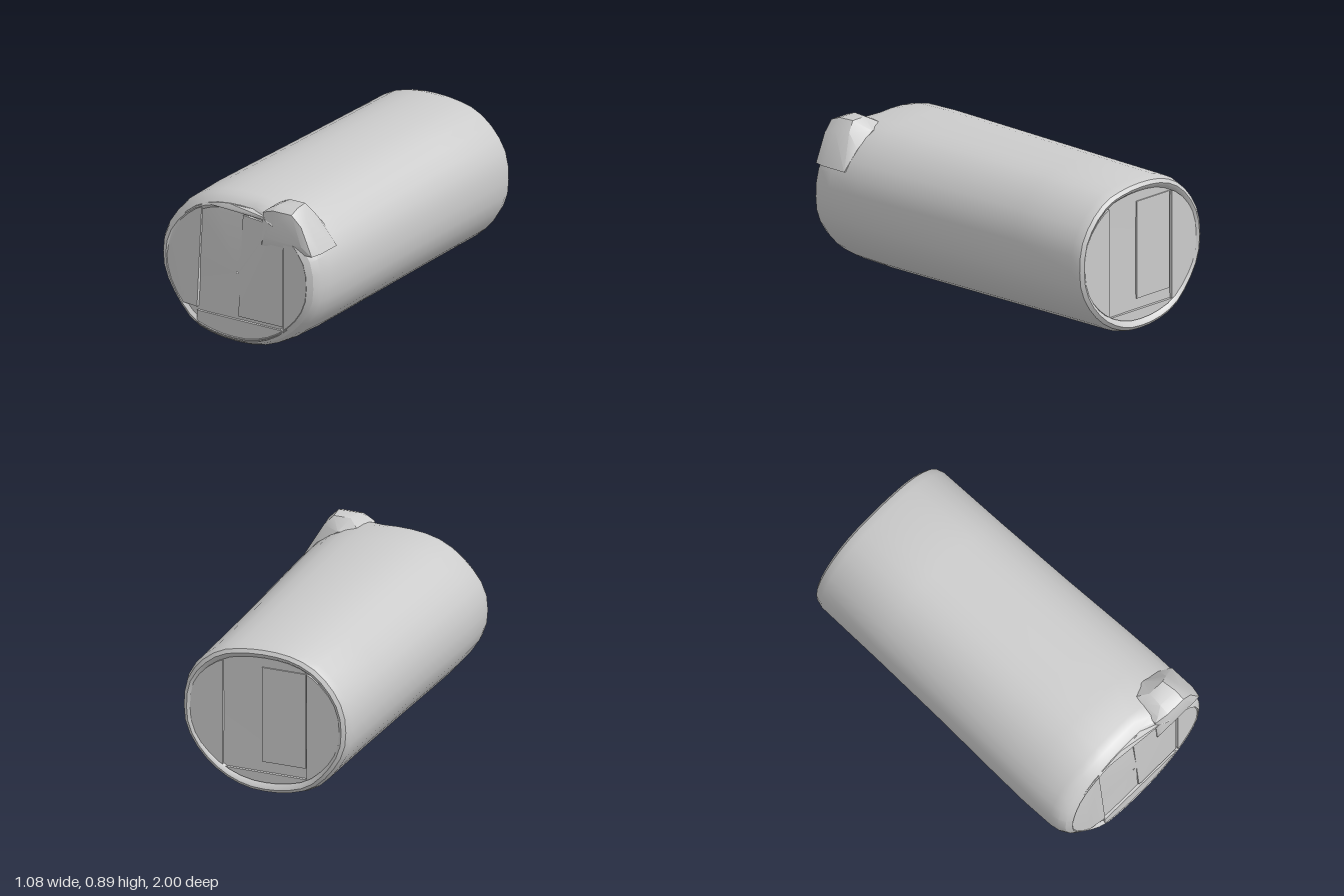
import * as THREE from 'three';
import { toCreasedNormals, mergeVertices } from 'three/addons/utils/BufferGeometryUtils.js';
import { ConvexGeometry } from 'three/addons/geometries/ConvexGeometry.js';

const CY = 0.445; // height of the log's axis
const N = 36;
const material = new THREE.MeshStandardMaterial({ color: 0xcccccc, side: THREE.DoubleSide });

// Cross-section at the front, counter-clockwise from the right
const outline = new THREE.CatmullRomCurve3([
  [0.54, 0.46], [0.52, 0.62], [0.43, 0.75], [0.3, 0.84], [0.15, 0.875], [-0.02, 0.885], [-0.18, 0.87],
  [-0.32, 0.82], [-0.44, 0.72], [-0.52, 0.59], [-0.54, 0.46], [-0.525, 0.34], [-0.46, 0.22], [-0.32, 0.08],
  [-0.17, 0.025], [0, 0.008], [0.15, 0.025], [0.32, 0.1], [0.46, 0.23], [0.525, 0.35],
].map(([x, y]) => new THREE.Vector3(x, y - CY, 0)), true).getSpacedPoints(N).slice(0, N);

// The front end leans back at the upper left and stands proud at the lower right
function lean(x, y, z) {
  const s = THREE.MathUtils.smoothstep;
  const amount = 0.03 - 0.055 * s(y, 0.5, 0.88) * (1 - s(x, 0.1, 0.22)) - 0.04 * s(-x, 0.2, 0.52);
  return z + amount * s(z, 0.8, 0.95);
}

function leanGeometry(geometry) {
  const p = geometry.attributes.position;
  for (let i = 0; i < p.count; i++) p.setZ(i, lean(p.getX(i), p.getY(i), p.getZ(i)));
  return geometry;
}

function addMesh(group, name, geometry, crease = 0.45) {
  const mesh = new THREE.Mesh(toCreasedNormals(geometry, crease), material);
  mesh.name = name;
  group.add(mesh);
}

// Closed loft through rings of [z, x scale, y scale]
function logGeometry() {
  const rings = [
    [-0.965, 0.01, 0.01], [-0.968, 0.8, 0.84], [-0.985, 0.82, 0.87], [-0.995, 0.85, 0.91], [-0.98, 0.89, 0.955],
    [-0.93, 0.918, 0.99], [-0.5, 0.93, 0.995], [0, 0.955, 1], [0.4, 0.985, 1], [0.65, 1, 1], [0.85, 0.995, 0.985],
    [0.91, 0.98, 0.96], [0.95, 0.94, 0.91], [0.97, 0.88, 0.85], [0.952, 0.84, 0.81], [0.94, 0.01, 0.01],
  ];
  const positions = [], index = [];
  rings.forEach(([z, sx, sy], r) => {
    outline.forEach((p, i) => {
      const x = p.x * sx, y = CY + p.y * sy;
      positions.push(x, y, lean(x, y, z));
      if (r === rings.length - 1) return;
      const j = (i + 1) % N, a = r * N + i, b = r * N + j;
      index.push(a, b, b + N, a, b + N, a + N);
    });
  });
  const geometry = new THREE.BufferGeometry();
  geometry.setAttribute('position', new THREE.Float32BufferAttribute(positions, 3));
  geometry.setIndex(index);
  return mergeVertices(geometry);
}

// Cuts a convex polygon to the side where inside(p) is positive
function clip(points, inside) {
  const result = [];
  points.forEach((p, i) => {
    const q = points[(i + 1) % points.length];
    const a = inside(p), b = inside(q);
    if (a >= 0) result.push(p);
    if (a * b < 0) result.push(p.clone().lerp(q, a / (a - b)));
  });
  return result;
}

// Flat slab filling part of an end face
function slab([x0, x1, y0, y1], scale, z0, z1) {
  let pts = outline.map((p) => new THREE.Vector2(p.x * scale, CY + p.y * scale));
  for (const f of [(p) => p.x - x0, (p) => x1 - p.x, (p) => p.y - y0, (p) => y1 - p.y]) pts = clip(pts, f);
  const geometry = new THREE.ExtrudeGeometry(new THREE.Shape(pts), { depth: z1 - z0, bevelEnabled: false });
  return geometry.translate(0, 0, z0);
}

export function createModel() {
  const model = new THREE.Group();
  addMesh(model, 'log', logGeometry());

  // Carved slabs around the sunken middle of the front end
  const frontSlabs = {
    frontLeftSlab: [-1, -0.25, 0.2, 1, 0.966],
    frontCentreSlab: [0.02, 0.31, 0.2, 0.78, 0.96],
    frontRightSlab: [0.32, 1, 0, 0.7, 0.966],
    frontBottomLip: [-0.25, 0.31, 0, 0.18, 0.966],
    frontTopLip: [-0.25, 0.18, 0.8, 1, 0.966],
  };
  for (const [name, [x0, x1, y0, y1, z]] of Object.entries(frontSlabs)) {
    addMesh(model, name, leanGeometry(slab([x0, x1, y0, y1], 0.88, 0.88, z)));
  }

  // Slabs on the back end
  const backSlabs = {
    backLeftSlab: [0.25, 1, 0, 1, -0.985],
    backRightSlab: [-1, -0.25, 0, 1, -0.985],
    backCentreSlab: [-0.24, 0.02, 0.2, 0.76, -0.975],
    backBottomLip: [-0.25, 0.25, 0, 0.14, -0.985],
  };
  for (const [name, [x0, x1, y0, y1, z]] of Object.entries(backSlabs)) {
    addMesh(model, name, slab([x0, x1, y0, y1], 0.83, z, -0.93));
  }

  // Branch stub on the upper front corner
  const stub = [
    [0.17, 0.65, 0.985], [0.5, 0.65, 0.985], [0.515, 0.65, 0.92], [0.515, 0.65, 0.76], [0.17, 0.65, 0.76],
    [0.17, 0.84, 0.97], [0.2, 0.865, 0.96], [0.25, 0.87, 0.99], [0.37, 0.87, 0.99], [0.43, 0.81, 0.985],
    [0.25, 0.893, 0.93], [0.37, 0.893, 0.93], [0.26, 0.893, 0.84], [0.36, 0.893, 0.84], [0.42, 0.845, 0.92],
    [0.41, 0.84, 0.82], [0.17, 0.84, 0.76], [0.3, 0.84, 0.75], [0.42, 0.76, 0.75], [0.2, 0.865, 0.85],
    [0.19, 0.7, 1], [0.44, 0.7, 1], [0.3, 0.83, 1],
  ].map((p) => new THREE.Vector3(...p));
  addMesh(model, 'branchStub', new ConvexGeometry(stub), 0.5);

  return model;
}
